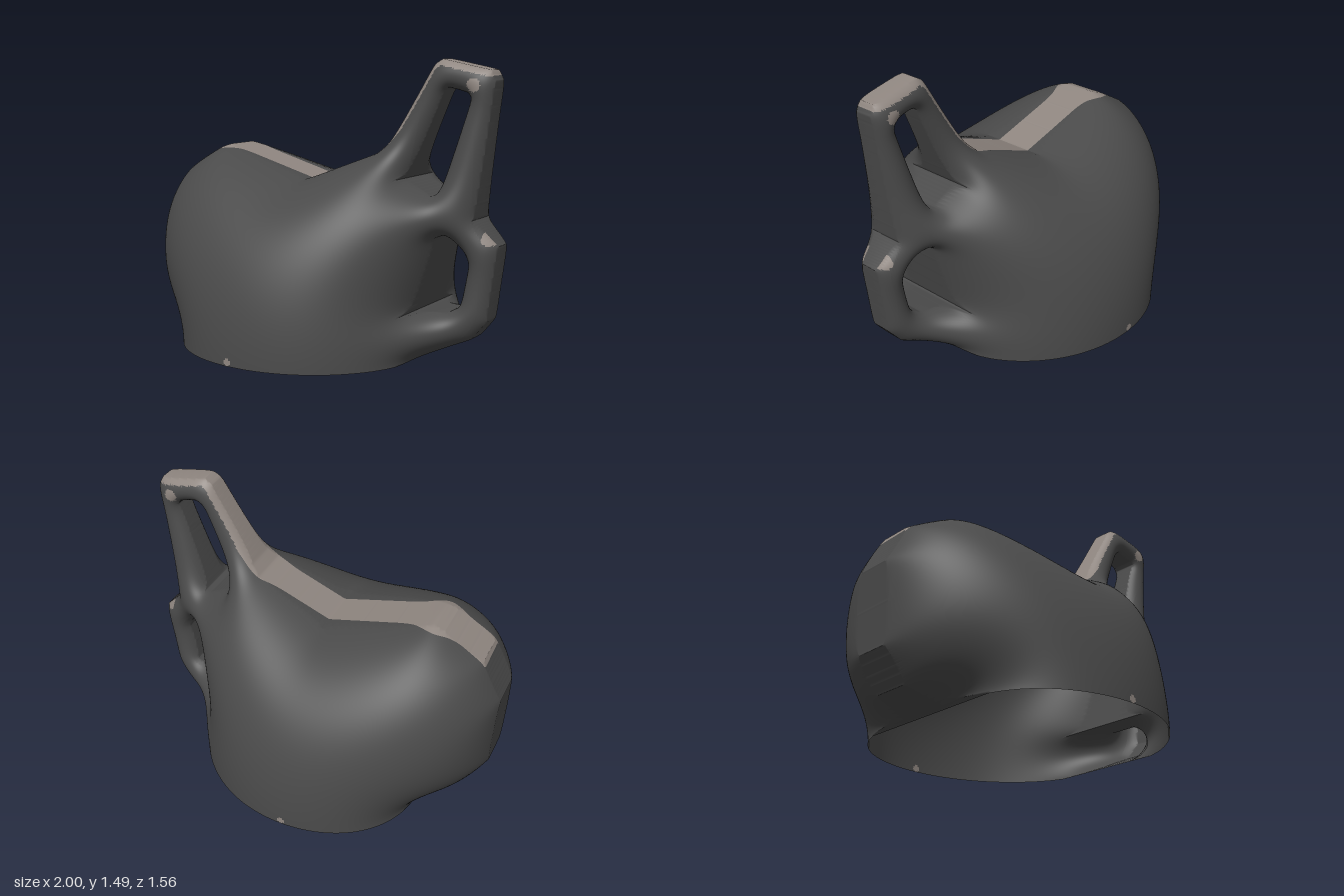
import * as THREE from 'three';
import { mergeVertices } from 'three/addons/utils/BufferGeometryUtils.js';

// Side profile of the body and its two open loops (x, y)
const OUTLINE = [[-0.64, -0.3], [0.6, -0.3], [0.6, 0], [0.87, 0.12], [0.95, 0.22], [1, 0.6], [0.95, 0.65], [0.88, 0.72],
  [0.965, 1.39], [0.94, 1.44], [0.68, 1.49], [0.64, 1.465], [0.4, 1.065], [0.35, 1.015], [-0.05, 0.86],
  [-0.62, 1.01], [-0.68, 0.99], [-0.89, 0.87], [-1, 0.65], [-0.98, 0.23], [-0.86, 0.07], [-0.64, 0]];
const UPPER_HOLE = [[0.51, 0.9], [0.7, 1.34], [0.72, 1.355], [0.83, 1.33], [0.845, 1.31], [0.69, 0.83], [0.66, 0.825]];
const LOWER_HOLE = [[0.59, 0.24], [0.695, 0.62], [0.74, 0.64], [0.83, 0.55], [0.85, 0.5], [0.81, 0.28], [0.76, 0.25], [0.6, 0.235]];
const TOP_EDGE = OUTLINE.slice(9, 18);
// Pale worn spots: x, y, radius, least |z|
const SPOTS = [[0.87, 1.368, 0.034, 0], [0.965, 0.64, 0.038, 0.045], [-0.09, 0.02, 0.018, 0]];

const STEP = 0.01, NX = 205, NY = 153, X0 = -1.02;
const HALF_DEPTH = 0.78;
const RIM = 0.012; // extra reach that gives the rim its thickness

// Half width of the pale band along the top, wider at the two shoulders
const bump = (x, centre, width) => Math.exp(-(((x - centre) / width) ** 2));
const paleHalfWidth = (x) => 0.1 + 0.045 * bump(x, -0.63, 0.09) + 0.012 * bump(x, -0.85, 0.1) + 0.018 * bump(x, 0.36, 0.08);

function segmentDistance(x, y, a, b) {
  const dx = b[0] - a[0], dy = b[1] - a[1];
  const t = Math.min(1, Math.max(0, ((x - a[0]) * dx + (y - a[1]) * dy) / (dx * dx + dy * dy)));
  return Math.hypot(x - a[0] - t * dx, y - a[1] - t * dy);
}

// Signed distance to the profile, positive inside
function profileDistance(x, y) {
  let d = Infinity, inside = false;
  for (const loop of [OUTLINE, UPPER_HOLE, LOWER_HOLE]) {
    loop.forEach((a, i) => {
      const b = loop[(i + 1) % loop.length];
      d = Math.min(d, segmentDistance(x, y, a, b));
      if ((a[1] > y) !== (b[1] > y) && x < a[0] + (y - a[1]) / (b[1] - a[1]) * (b[0] - a[0])) inside = !inside;
    });
  }
  d = Math.max(d, STEP * 0.05);
  return inside ? d : -d;
}

// Inflate the profile like a membrane: squared depth is proportional to u
function inflate(s) {
  const u = new Float64Array(NX * NY), h2 = STEP * STEP;
  const gap = (n, m) => (s[m] > 0 ? 1 : Math.max(0.05, s[n] / (s[n] - s[m])));
  const cells = [];
  for (let j = 0; j < NY - 1; j++) {
    for (let i = 1; i < NX - 1; i++) {
      const n = j * NX + i;
      if (s[n] <= 0) continue;
      const l = n - 1, r = n + 1, t = n + NX, b = j ? n - NX : t;
      const gl = gap(n, l), gr = gap(n, r), gt = gap(n, t), gb = gap(n, b);
      const w = [2 / (gl * (gl + gr)), 2 / (gr * (gl + gr)), 2 / (gt * (gt + gb)), 2 / (gb * (gt + gb))];
      cells.push({ n, l, r, t, b, w, sum: w[0] + w[1] + w[2] + w[3] });
    }
  }
  for (let k = 0; k < 600; k++) {
    for (const { n, l, r, t, b, w, sum } of cells) {
      const target = (h2 + w[0] * u[l] + w[1] * u[r] + w[2] * u[t] + w[3] * u[b]) / sum;
      u[n] += 1.93 * (target - u[n]);
    }
  }
  return u;
}

// Keep the part of a convex polygon where sign * p[key] >= 0
function clip(poly, key, sign) {
  const out = [];
  poly.forEach((a, i) => {
    const b = poly[(i + 1) % poly.length];
    const fa = sign * a[key], fb = sign * b[key];
    if (fa >= 0) out.push(a);
    if ((fa > 0 && fb < 0) || (fa < 0 && fb > 0)) {
      const t = fa / (fa - fb), p = {};
      for (const k of Object.keys(a)) p[k] = a[k] + (b[k] - a[k]) * t;
      p[key] = 0;
      out.push(p);
    }
  });
  return out;
}

function isPale(x, y, z) {
  if (SPOTS.some(([sx, sy, r, minZ]) => Math.hypot(x - sx, y - sy) < r && z >= minZ)) return true;
  if (z > paleHalfWidth(x)) return false;
  return TOP_EDGE.some((a, i) => i && segmentDistance(x, y, TOP_EDGE[i - 1], a) < 0.03);
}

export function createModel() {
  const charcoal = new THREE.MeshStandardMaterial({ color: 0x4a4a4a, side: THREE.DoubleSide });
  charcoal.name = 'charcoal';
  const paleGrey = new THREE.MeshStandardMaterial({ color: 0x8f8680, side: THREE.DoubleSide });
  paleGrey.name = 'paleGrey';

  const s = new Float64Array(NX * NY);
  for (let n = 0; n < s.length; n++) s[n] = profileDistance(X0 + (n % NX) * STEP, Math.floor(n / NX) * STEP);
  const u = inflate(s.map((d) => d + RIM));
  const k = HALF_DEPTH ** 2 / u.reduce((a, b) => Math.max(a, b), 0);
  const depth = (p) => Math.sqrt(Math.max(0, p.u) * k);

  const dark = [], pale = [];
  const addTriangle = (tri) => {
    const [x, y, z] = [0, 1, 2].map((c) => (tri[0][c] + tri[1][c] + tri[2][c]) / 3);
    (isPale(x, y, Math.abs(z)) ? pale : dark).push(...tri.flat());
  };

  // Front and back skins
  const addSkin = (poly) => {
    const front = poly.map((p) => [p.x, p.y, depth(p)]), back = poly.map((p) => [p.x, p.y, -depth(p)]);
    for (let i = 1; i < poly.length - 1; i++) {
      addTriangle([front[0], front[i], front[i + 1]]);
      addTriangle([back[0], back[i + 1], back[i]]);
    }
  };

  // Narrow rim wall joining the skins, split at the edges of the pale band
  const addWall = (a, b) => {
    const za = depth(a), zb = depth(b);
    const ma = Math.min(za, paleHalfWidth(a.x)), mb = Math.min(zb, paleHalfWidth(b.x));
    const strips = [[za, ma, zb, mb], [ma, -ma, mb, -mb], [-ma, -za, -mb, -zb]];
    for (const [a0, a1, b0, b1] of strips) {
      if (a0 - a1 + b0 - b1 < 1e-5) continue;
      const A0 = [a.x, a.y, a0], A1 = [a.x, a.y, a1], B0 = [b.x, b.y, b0], B1 = [b.x, b.y, b1];
      addTriangle([A0, A1, B1]);
      addTriangle([A0, B1, B0]);
    }
  };

  // q changes sign at the edge of the pale band
  const corner = (i, j) => {
    const n = j * NX + i, x = X0 + i * STEP;
    return { x, y: j * STEP, s: s[n], u: u[n], q: u[n] - paleHalfWidth(x) ** 2 / k };
  };
  for (let j = 0; j < NY - 1; j++) {
    for (let i = 0; i < NX - 1; i++) {
      const a = corner(i, j), b = corner(i + 1, j), c = corner(i + 1, j + 1), d = corner(i, j + 1);
      for (const tri of [[a, b, c], [a, c, d]]) {
        const inside = clip(tri, 's', 1);
        if (inside.length < 3) continue;
        for (const sign of [1, -1]) {
          const part = clip(inside, 'q', sign);
          if (part.length > 2) addSkin(part);
        }
        inside.forEach((p, n) => {
          const next = inside[(n + 1) % inside.length];
          if (p.s === 0 && next.s === 0) addWall(p, next);
        });
      }
    }
  }

  // Hollow shell, open underneath
  const raw = new THREE.BufferGeometry();
  raw.setAttribute('position', new THREE.Float32BufferAttribute(dark.concat(pale), 3));
  const shell = mergeVertices(raw, 1e-5);
  shell.computeVertexNormals();
  shell.addGroup(0, dark.length / 3, 0);
  shell.addGroup(dark.length / 3, pale.length / 3, 1);
  const body = new THREE.Mesh(shell, [charcoal, paleGrey]);
  body.name = 'bodyWithLoops';

  const model = new THREE.Group();
  model.name = 'inflatedVessel';
  model.add(body);
  return model;
}
